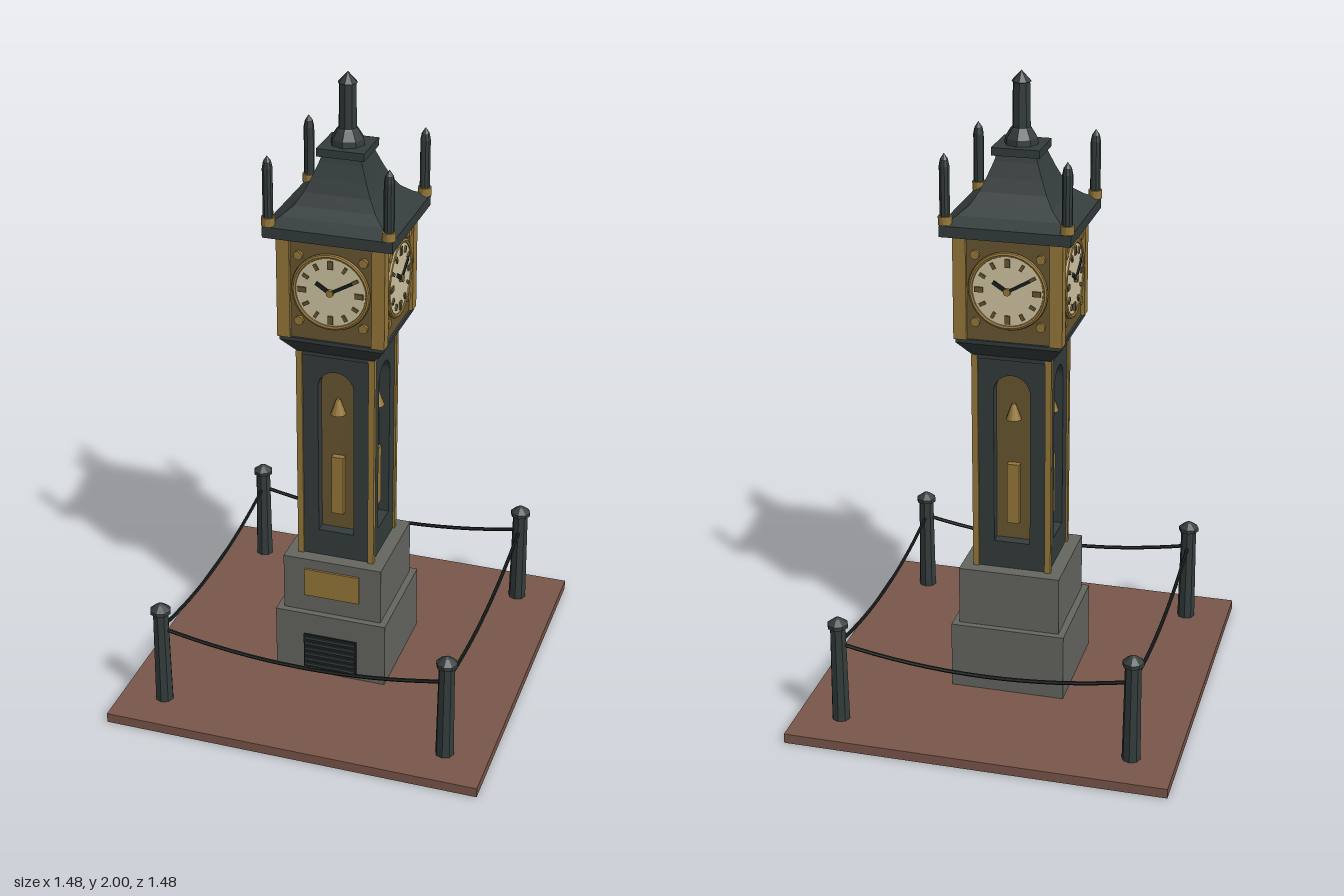
import * as THREE from 'three';

const mat = (color) => new THREE.MeshStandardMaterial({ color, flatShading: true });
const IRON = mat(0x343c3c), GOLD = mat(0x97793a), BRONZE = mat(0x695630), STONE = mat(0x656660);
const BRICK = mat(0x7a564a), CREAM = mat(0xd2c7a4), BLACK = mat(0x1c2020);

function add(parent, name, geo, material, x = 0, y = 0, z = 0) {
  const mesh = new THREE.Mesh(geo, material);
  mesh.name = name;
  mesh.position.set(x, y, z);
  parent.add(mesh);
  return mesh;
}

// Square block of half width h between two heights
const block = (parent, name, h, y0, y1, material, x = 0, z = 0) =>
  add(parent, name, new THREE.BoxGeometry(2 * h, y1 - y0, 2 * h), material, x, (y0 + y1) / 2, z);

const lathe = (pts, sides, start = 0) =>
  new THREE.LatheGeometry(pts.map(([r, y]) => new THREE.Vector2(r, y)), sides, start);

// Square stack from [half width, height] pairs
const squareLathe = (pts) => lathe(pts.map(([h, y]) => [h * Math.SQRT2, y]), 4, Math.PI / 4);

// Flat disc facing +z
const disc = (r, depth, sides) => new THREE.CylinderGeometry(r, r, depth, sides).rotateX(Math.PI / 2);

// Calls fn with a group turned to each of the four sides
function fourSides(parent, name, fn) {
  for (let i = 0; i < 4; i++) {
    const side = new THREE.Group();
    side.name = name;
    side.rotation.y = (i * Math.PI) / 2;
    parent.add(side);
    fn(side);
  }
}

// Iron wall with an arched opening
function archedWall() {
  const h = 0.118, w = 0.057;
  const wall = new THREE.Shape();
  wall.moveTo(-h, 0.44).lineTo(h, 0.44).lineTo(h, 1.15).lineTo(-h, 1.15).closePath();
  const arch = new THREE.Path();
  arch.moveTo(-w, 0.53).lineTo(-w, 1.033);
  arch.absarc(0, 1.033, w, Math.PI, 0, true);
  arch.lineTo(w, 0.53).closePath();
  wall.holes.push(arch);
  return new THREE.ExtrudeGeometry(wall, { depth: 0.035, bevelEnabled: false, curveSegments: 10 });
}

function addClock(side) {
  const clock = new THREE.Group();
  clock.name = 'clock';
  clock.position.set(0, 1.375, 0.155);
  side.add(clock);
  add(clock, 'dial', disc(0.112, 0.012, 32), CREAM, 0, 0, 0.003);
  add(clock, 'dialRing', new THREE.TorusGeometry(0.114, 0.008, 8, 40), GOLD, 0, 0, 0.006);
  // Hour markers, larger at the quarters
  for (let i = 0; i < 12; i++) {
    const a = (i * Math.PI) / 6, big = i % 3 === 0;
    const marker = add(clock, 'hourMarker', new THREE.BoxGeometry(big ? 0.016 : 0.01, big ? 0.026 : 0.02, 0.006),
      BRONZE, Math.sin(a) * 0.088, Math.cos(a) * 0.088, 0.011);
    marker.rotation.z = -a;
  }
  // Hands
  for (const [name, length, width, angle] of [['minuteHand', 0.085, 0.009, 1.05], ['hourHand', 0.06, 0.012, -1.0]]) {
    const hand = add(clock, name, new THREE.BoxGeometry(width, length, 0.005).translate(0, length / 2 - 0.008, 0),
      BLACK, 0, 0, 0.014);
    hand.rotation.z = -angle;
  }
  add(clock, 'handHub', disc(0.011, 0.012, 12), GOLD, 0, 0, 0.014);
  // Corner studs
  for (const x of [-0.1, 0.1]) for (const y of [-0.105, 0.105])
    add(clock, 'cornerStud', disc(0.014, 0.014, 12), GOLD, x, y, 0.003);
}

export function createModel() {
  const model = new THREE.Group();
  model.name = 'clockTower';
  const tower = new THREE.Group();
  tower.name = 'tower';
  tower.rotation.y = THREE.MathUtils.degToRad(16);
  model.add(tower);

  // Paving and stone plinth
  block(tower, 'paving', 0.598, 0.001, 0.032, BRICK);
  block(tower, 'plinthLower', 0.182, 0, 0.25, STONE);
  block(tower, 'plinthUpper', 0.161, 0.25, 0.44, STONE);

  // Plaque and vent on the front
  add(tower, 'plaque', new THREE.BoxGeometry(0.18, 0.096, 0.01), GOLD, 0, 0.358, 0.163);
  add(tower, 'vent', new THREE.BoxGeometry(0.176, 0.125, 0.006), BLACK, 0, 0.112, 0.183);
  for (let i = 0; i < 6; i++)
    add(tower, 'ventSlat', new THREE.BoxGeometry(0.168, 0.009, 0.008), IRON, 0, 0.062 + i * 0.02, 0.187);

  // Shaft with arched windows
  block(tower, 'shaftCore', 0.084, 0.44, 1.15, BRONZE);
  const wall = archedWall();
  fourSides(tower, 'shaftSide', (side) => {
    add(side, 'shaftWall', wall, IRON, 0, 0, 0.083);
    add(side, 'weight', new THREE.BoxGeometry(0.038, 0.2, 0.02), GOLD, 0, 0.69, 0.094);
    add(side, 'bell', new THREE.CylinderGeometry(0.006, 0.024, 0.05, 12), GOLD, 0, 0.965, 0.094);
    block(side, 'shaftCornerPost', 0.0095, 0.44, 1.15, GOLD, 0.115, 0.115);
  });

  // Flared collar and clock housing
  add(tower, 'collar', squareLathe([[0, 1.14], [0.124, 1.14], [0.124, 1.152], [0.162, 1.2], [0.162, 1.212], [0, 1.212]]), IRON);
  block(tower, 'clockHousing', 0.155, 1.21, 1.54, BRONZE);
  fourSides(tower, 'clockSide', (side) => {
    addClock(side);
    block(side, 'housingCornerPost', 0.02, 1.212, 1.54, GOLD, 0.147, 0.147);
  });

  // Eaves, curved roof and cap
  block(tower, 'eaves', 0.198, 1.538, 1.572, IRON);
  add(tower, 'roof', squareLathe([[0.195, 1.572], [0.155, 1.594], [0.124, 1.62], [0.102, 1.655],
    [0.084, 1.695], [0.066, 1.74], [0.058, 1.765]]), IRON);
  block(tower, 'roofCap', 0.073, 1.758, 1.782, IRON);
  add(tower, 'spire', lathe([[0.052, 1.78], [0.05, 1.8], [0.034, 1.825], [0.028, 1.832],
    [0.026, 1.965], [0.03, 1.967], [0, 2]].map(([r, y]) => [r, y]), 8), IRON);

  // Corner finials
  const finial = lathe([[0.016, 1.572], [0.016, 1.75], [0.012, 1.77], [0, 1.788]], 10);
  fourSides(tower, 'finialSide', (side) => {
    add(side, 'finial', finial, IRON, 0.183, 0, 0.183);
    add(side, 'finialCollar', new THREE.CylinderGeometry(0.021, 0.021, 0.026, 12), GOLD, 0.183, 1.587, 0.183);
  });

  // Bollards joined by hanging chains
  const bollard = lathe([[0.029, 0.03], [0.025, 0.35], [0.033, 0.352], [0.033, 0.364], [0.012, 0.38], [0, 0.386]], 8);
  const chainPath = new THREE.QuadraticBezierCurve3(new THREE.Vector3(-0.46, 0.295, 0.46),
    new THREE.Vector3(0, 0.195, 0.46), new THREE.Vector3(0.46, 0.295, 0.46));
  const chain = new THREE.TubeGeometry(chainPath, 16, 0.006, 6);
  fourSides(tower, 'fenceSide', (side) => {
    add(side, 'bollard', bollard, IRON, 0.46, 0, 0.46);
    add(side, 'chain', chain, BLACK);
  });

  return model;
}
